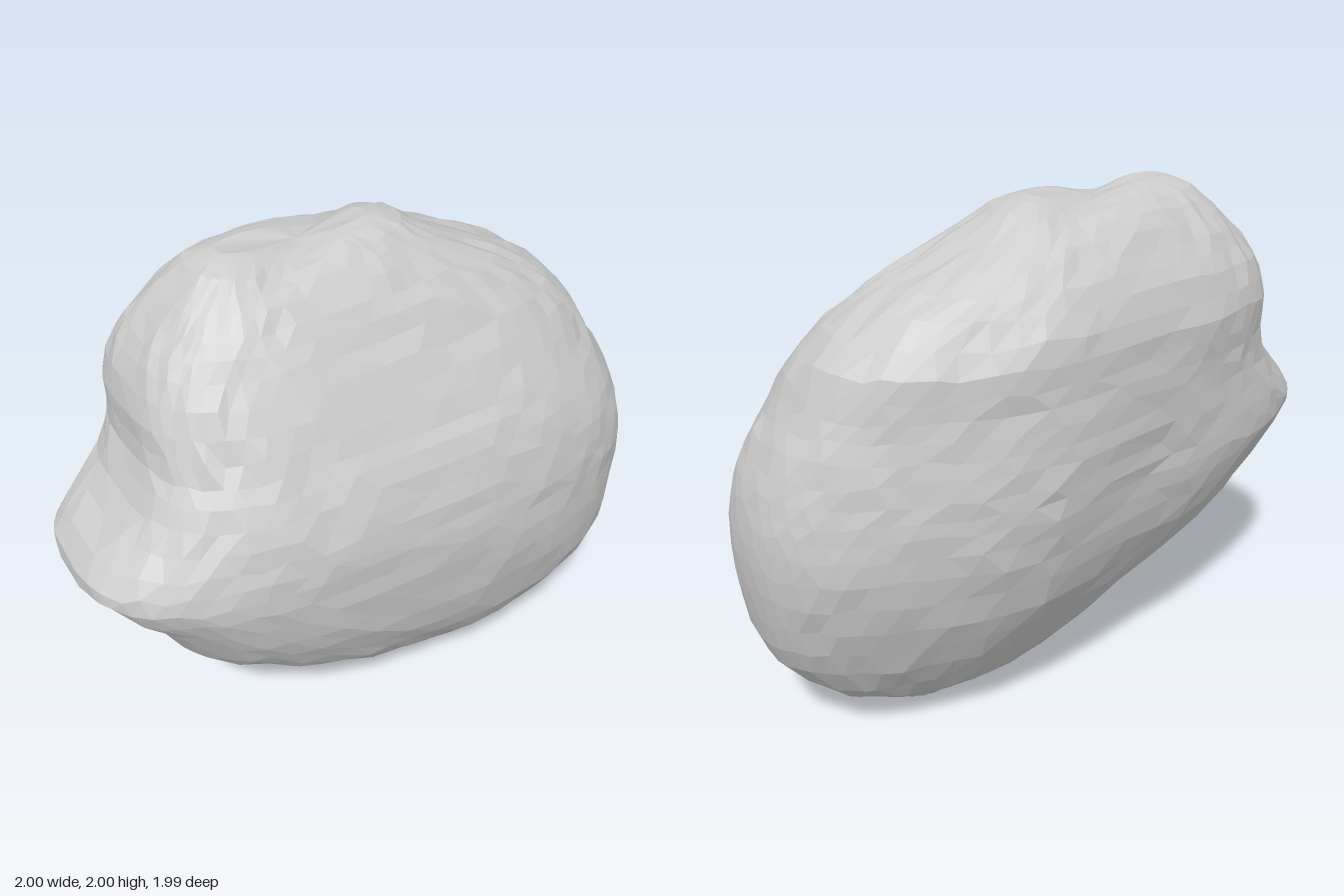
import * as THREE from 'three';

// Height sections of the slab: [y, uMin, uMax, wCentre, half thickness]
// u runs along the slab (towards +x, -z), w through its thickness (towards +x, +z)
const SECTIONS = [
  [0.004, 0.45, 0.58, 0.03, 0.04],
  [0.03, 0.28, 0.68, 0.03, 0.11],
  [0.10, 0.05, 0.80, 0.03, 0.18],
  [0.20, -0.32, 0.98, 0.03, 0.28],
  [0.40, -0.65, 1.16, 0.03, 0.40],
  [0.60, -0.86, 1.215, 0.01, 0.48],
  [0.80, -0.96, 1.24, -0.01, 0.525],
  [0.96, -1.00, 1.235, -0.02, 0.54],
  [1.07, -0.99, 1.215, -0.03, 0.54],
  [1.19, -0.96, 1.175, -0.045, 0.53],
  [1.32, -0.91, 1.11, -0.07, 0.505],
  [1.43, -0.87, 1.05, -0.10, 0.475],
  [1.56, -0.86, 0.98, -0.14, 0.44],
  [1.70, -0.80, 0.80, -0.16, 0.375],
  [1.80, -0.72, 0.58, -0.165, 0.315],
  [1.90, -0.62, 0.37, -0.17, 0.24],
  [1.97, -0.54, 0.26, -0.17, 0.16],
  [2.00, -0.45, 0.14, -0.17, 0.07],
];
const ROWS = 30, SIDES = 52;

// Smooth blend through the section table
function sectionAt(t) {
  const n = SECTIONS.length - 1, i = Math.min(Math.floor(t * n), n - 1), f = t * n - i;
  const row = (k) => SECTIONS[THREE.MathUtils.clamp(k, 0, n)];
  return SECTIONS[0].map((_, c) => {
    const p0 = row(i - 1)[c], p1 = row(i)[c], p2 = row(i + 1)[c], p3 = row(i + 2)[c];
    return p1 + 0.5 * f * (p2 - p0 + f * (2 * p0 - 5 * p1 + 4 * p2 - p3 + f * (3 * (p1 - p2) + p3 - p0)));
  });
}

// Repeatable value from -1 to 1
function hash(a, b) {
  const s = Math.sin(a * 127.1 + b * 311.7) * 43758.5453;
  return (s - Math.floor(s)) * 2 - 1;
}

const bell = (v, centre, width) => Math.exp(-(((v - centre) / width) ** 2));

// Rounded oval with a round end, a blunter end and a knob on the blunt end
function ring(r) {
  const [y, uMin, uMax, wc, b] = sectionAt(r / ROWS);
  const uMid = -0.1 + 0.6 * Math.max(1 - y / 2, 0) ** 1.7;
  const bluntness = 2 + 1.3 * THREE.MathUtils.smoothstep(y, 0.3, 1);
  const rough = Math.min(1, b / 0.4);
  const points = [];
  for (let s = 0; s < SIDES; s++) {
    const angle = ((s + (r % 2) * 0.5 + hash(r, s) * 0.2) / SIDES) * Math.PI * 2;
    const c = Math.cos(angle), d = Math.sin(angle);
    const power = c > 0 ? 2.5 : bluntness;
    const end = Math.abs(c) ** (2 / power);
    const knob = 0.18 * bell(y, 1.04, 0.15) * end ** 4;
    const along = c > 0 ? (uMax - uMid) * end : (uMin - uMid) * end - knob;
    const across = b * Math.sign(d) * Math.abs(d) ** (2 / power);
    // Broad lumps, and a fuller back
    const lump = 1 + 0.012 * Math.sin(5 * along + 4 * y) * Math.cos(6 * y - 3 * across);
    const belly = across < 0 ? 1 + 0.16 * bell(uMid + along, 0.4, 0.4) : 1;
    const u = uMid + along;
    const w = wc + across * lump * belly + 0.006 * rough * hash(s + 7, r + 3);
    const x = (u + w) / Math.SQRT2, z = (w - u) / Math.SQRT2;
    // Shallow saddle across the top
    const dip = 0.045 * bell(x, -0.2, 0.1) * THREE.MathUtils.smoothstep(y, 1.85, 2);
    const ripple = r > 1 && r < ROWS - 1 ? 0.012 * rough * hash(r + 19, s) : 0;
    points.push(x, y - dip + ripple, z);
  }
  return points;
}

export function createModel() {
  const positions = [], indices = [];
  for (let r = 0; r <= ROWS; r++) positions.push(...ring(r));

  // Skin between neighbouring rings
  for (let r = 0; r < ROWS; r++) {
    for (let s = 0; s < SIDES; s++) {
      const n = (s + 1) % SIDES;
      const a = r * SIDES + s, b = r * SIDES + n, c = a + SIDES, d = b + SIDES;
      if (r % 2) indices.push(a, c, d, a, d, b);
      else indices.push(a, c, b, b, c, d);
    }
  }

  // Closing fans at the foot and the crown
  const foot = positions.length / 3, crown = foot + 1, last = ROWS * SIDES;
  positions.push(0.385, 0, -0.34, -0.22, 1.96, -0.02);
  for (let s = 0; s < SIDES; s++) {
    const n = (s + 1) % SIDES;
    indices.push(foot, s, n, crown, last + n, last + s);
  }

  const geometry = new THREE.BufferGeometry();
  geometry.setAttribute('position', new THREE.Float32BufferAttribute(positions, 3));
  geometry.setIndex(indices);
  geometry.computeVertexNormals();

  const material = new THREE.MeshStandardMaterial({ color: 0xcccccc, flatShading: true });
  const boulder = new THREE.Mesh(geometry, material);
  boulder.name = 'boulder';

  // Small jagged point under the slab
  const nub = new THREE.Mesh(new THREE.ConeGeometry(0.1, 0.1, 5), material);
  nub.name = 'undersideNub';
  nub.rotation.x = Math.PI;
  nub.position.set(0.12, 0.1, -0.04);

  const model = new THREE.Group();
  model.name = 'rock';
  model.add(boulder, nub);
  return model;
}
